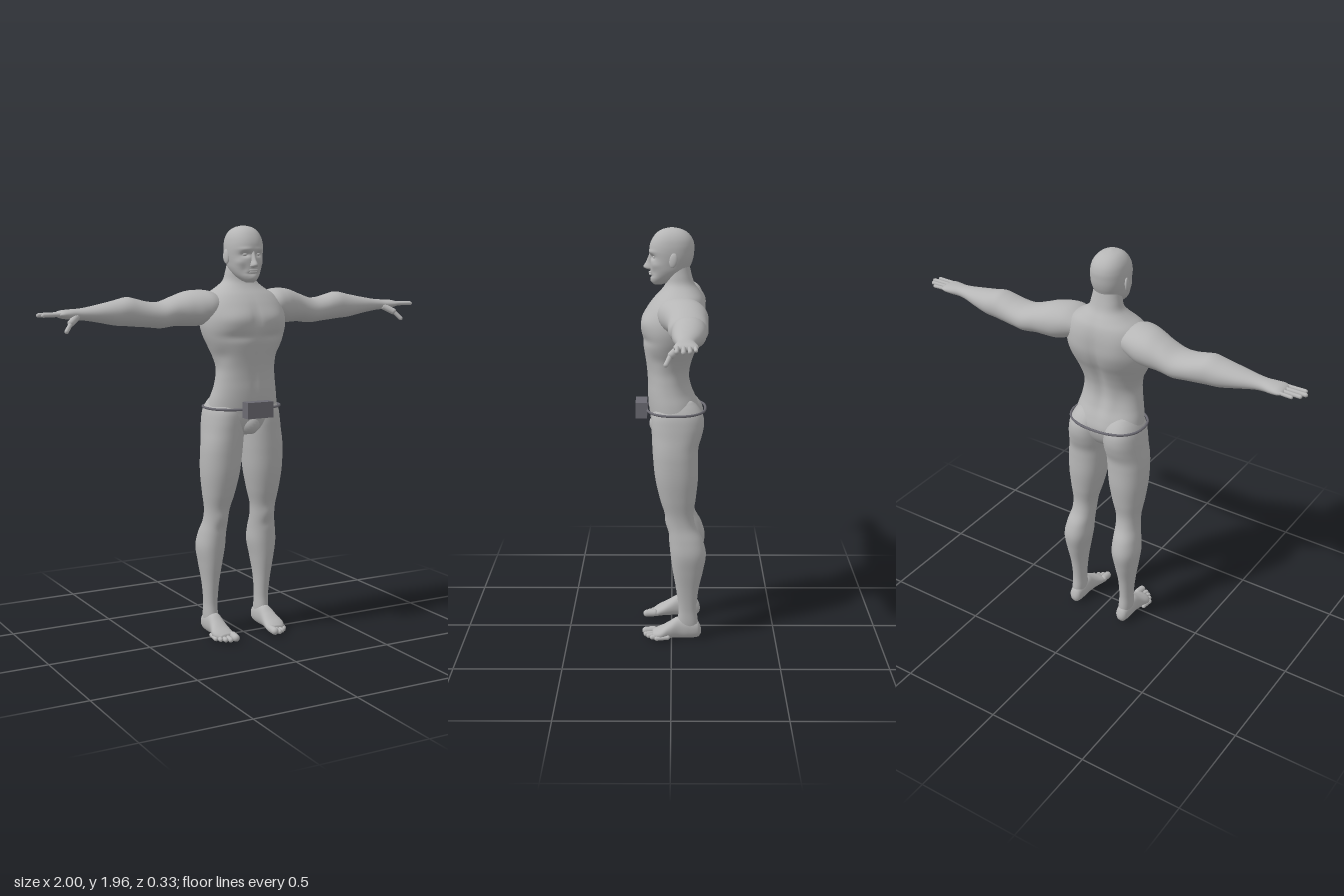
import * as THREE from 'three';

const skin = new THREE.MeshStandardMaterial({ color: 0xb6b6b6 });
skin.name = 'skin grey';
const dark = new THREE.MeshStandardMaterial({ color: 0x6b6a72 });
dark.name = 'belt grey';

// Cubic interpolation through rows of keys; column 0 is the position along the loft
function sample(keys, t) {
  let i = 0;
  while (i < keys.length - 2 && t > keys[i + 1][0]) i++;
  const k = (j) => keys[Math.min(Math.max(j, 0), keys.length - 1)];
  const [p, a, b, q] = [k(i - 1), k(i), k(i + 1), k(i + 2)];
  const h = b[0] - a[0], u = (t - a[0]) / h;
  return a.map((_, c) => {
    const ma = ((b[c] - p[c]) / (b[0] - p[0])) * h, mb = ((q[c] - a[c]) / (q[0] - a[0])) * h;
    const d = b[c] - a[c];
    return a[c] + u * (ma + u * (3 * d - 2 * ma - mb + u * (ma + mb - 2 * d)));
  });
}

// Closed skin over superellipse sections. Keys: [t, centre a, half a, min b, max b].
// axes names the directions of t, a and b; bumps: [x, y, z, rx, ry, rz, height].
function loft(axes, keys, { side = 1, power = 2.2, rings = 60, around = 40, bumps = [] } = {}) {
  const pos = [], index = [];
  const right = ['xyz', 'yzx', 'zxy'].includes(axes) ? 1 : -1;
  const tri = (a, b, c) => (right * side > 0 ? index.push(a, b, c) : index.push(a, c, b));
  const put = (t, a, b, ca, cb) => {
    const p = { [axes[0]]: t, [axes[1]]: a, [axes[2]]: b };
    let lift = 0;
    for (const [x, y, z, rx, ry, rz, h] of bumps) {
      const e = ((Math.abs(p.x) - x) / rx) ** 2 + ((p.y - y) / ry) ** 2 + ((p.z - z) / rz) ** 2;
      lift += h * Math.exp(-e);
    }
    const len = Math.hypot(a - ca, b - cb) || 1;
    p[axes[1]] += ((a - ca) / len) * lift;
    p[axes[2]] += ((b - cb) / len) * lift;
    pos.push(p.x * side, p.y, p.z);
  };
  const t0 = keys[0][0], t1 = keys[keys.length - 1][0];
  const bend = (v) => Math.sign(v) * Math.abs(v) ** (2 / power);
  for (let i = 0; i <= rings; i++) {
    const [t, ca, ra, b0, b1] = sample(keys, t0 + ((t1 - t0) * i) / rings);
    const cb = (b0 + b1) / 2, rb = (b1 - b0) / 2;
    for (let j = 0; j < around; j++) {
      const th = (j / around) * Math.PI * 2;
      put(t, ca + ra * bend(Math.cos(th)), cb + rb * bend(Math.sin(th)), ca, cb);
      if (i === rings) continue;
      const p = i * around + j, q = i * around + ((j + 1) % around);
      tri(p, q, p + around);
      tri(q, q + around, p + around);
    }
  }
  for (const [key, ring, end] of [[keys[0], 0, false], [keys[keys.length - 1], rings, true]]) {
    const c = pos.length / 3, cb = (key[3] + key[4]) / 2;
    put(key[0], key[1], cb, key[1], cb);
    for (let j = 0; j < around; j++) {
      const p = ring * around + j, q = ring * around + ((j + 1) % around);
      if (end) tri(c, p, q); else tri(c, q, p);
    }
  }
  const g = new THREE.BufferGeometry();
  g.setAttribute('position', new THREE.Float32BufferAttribute(pos, 3));
  g.setIndex(index);
  g.computeVertexNormals();
  return g;
}

export function createModel() {
  const model = new THREE.Group();
  model.name = 'figure';
  const add = (name, geometry, material = skin) => {
    const m = new THREE.Mesh(geometry, material);
    m.name = name;
    model.add(m);
    return m;
  };
  const ball = (name, x, y, z, rx, ry, rz) => {
    const m = add(name, new THREE.SphereGeometry(1, 20, 14));
    m.position.set(x, y, z);
    m.scale.set(rx, ry, rz);
    return m;
  };
  const limb = (name, from, to, r, side) => {
    const a = new THREE.Vector3(...from), b = new THREE.Vector3(...to);
    a.x *= side;
    b.x *= side;
    const m = add(name, new THREE.CapsuleGeometry(r, a.distanceTo(b) - 2 * r, 6, 12));
    m.position.copy(a).add(b).multiplyScalar(0.5);
    m.quaternion.setFromUnitVectors(new THREE.Vector3(0, 1, 0), b.sub(a).normalize());
  };

  // Torso with neck; bumps form the chest, stomach, shoulder blades and spine groove
  add('torso', loft('yxz', [
    [0.985, 0, 0.06, -0.07, 0.06], [1.01, 0, 0.12, -0.1, 0.08], [1.05, 0, 0.165, -0.125, 0.095],
    [1.1, 0, 0.172, -0.135, 0.103], [1.15, 0, 0.167, -0.12, 0.109], [1.2, 0, 0.156, -0.095, 0.112],
    [1.25, 0, 0.148, -0.081, 0.112], [1.3, 0, 0.145, -0.083, 0.115], [1.35, 0, 0.158, -0.097, 0.121],
    [1.4, 0, 0.179, -0.117, 0.129], [1.45, 0, 0.199, -0.14, 0.136], [1.5, 0, 0.21, -0.154, 0.138],
    [1.55, 0, 0.208, -0.158, 0.13], [1.6, 0, 0.195, -0.157, 0.106], [1.64, 0, 0.165, -0.148, 0.076],
    [1.67, 0, 0.118, -0.13, 0.048], [1.7, 0, 0.083, -0.108, 0.028], [1.74, 0, 0.071, -0.094, 0.022],
    [1.8, 0, 0.06, -0.08, 0.02],
  ], {
    rings: 100, around: 72, bumps: [
      [0.09, 1.53, 0.12, 0.08, 0.045, 0.07, 0.012], [0.09, 1.45, 0.13, 0.09, 0.02, 0.07, -0.007],
      [0, 1.53, 0.13, 0.016, 0.07, 0.06, -0.006], [0, 1.25, 0.11, 0.012, 0.13, 0.05, -0.004],
      [0.1, 1.53, -0.14, 0.06, 0.08, 0.06, 0.008], [0, 1.4, -0.12, 0.025, 0.2, 0.07, -0.014],
      [0.045, 1.24, -0.08, 0.03, 0.09, 0.04, 0.006], [0.15, 1.36, 0.07, 0.04, 0.04, 0.05, -0.006],
    ],
  }));
  ball('groin', 0, 1.035, 0.06, 0.05, 0.05, 0.045);

  // Head with eye sockets, brow, cheekbones and chin
  add('head', loft('yxz', [
    [1.697, 0, 0.018, 0.045, 0.08], [1.708, 0, 0.036, 0.01, 0.09], [1.73, 0, 0.056, -0.03, 0.096],
    [1.76, 0, 0.071, -0.072, 0.098], [1.79, 0, 0.078, -0.09, 0.098], [1.82, 0, 0.083, -0.1, 0.098],
    [1.85, 0, 0.085, -0.104, 0.102], [1.88, 0, 0.083, -0.104, 0.099], [1.91, 0, 0.075, -0.094, 0.086],
    [1.935, 0, 0.058, -0.072, 0.065], [1.95, 0, 0.035, -0.043, 0.038], [1.957, 0, 0.006, -0.01, 0.006],
  ], {
    rings: 80, around: 64, bumps: [
      [0.034, 1.825, 0.09, 0.02, 0.011, 0.03, -0.014], [0.035, 1.85, 0.09, 0.03, 0.009, 0.03, 0.004],
      [0.055, 1.79, 0.07, 0.02, 0.016, 0.03, 0.004], [0.04, 1.755, 0.08, 0.015, 0.02, 0.03, -0.005],
      [0, 1.738, 0.095, 0.03, 0.007, 0.03, -0.006], [0, 1.715, 0.09, 0.02, 0.012, 0.03, 0.005],
    ],
  }));
  add('nose', loft('yxz', [
    [1.764, 0, 0.007, 0.07, 0.1], [1.769, 0, 0.017, 0.07, 0.119], [1.778, 0, 0.017, 0.07, 0.13],
    [1.8, 0, 0.011, 0.07, 0.118], [1.835, 0, 0.009, 0.07, 0.103], [1.85, 0, 0.008, 0.07, 0.099],
  ], { rings: 24, around: 24, power: 2 }));
  ball('upperLip', 0, 1.753, 0.095, 0.025, 0.005, 0.011);
  ball('lowerLip', 0, 1.744, 0.094, 0.021, 0.005, 0.011);

  for (const side of [1, -1]) {
    ball('eye', side * 0.033, 1.825, 0.074, 0.013, 0.008, 0.012);
    const ear = ball('ear', side * 0.086, 1.815, -0.008, 0.009, 0.034, 0.019);
    ear.rotation.set(-0.15, side * -0.3, 0);

    // Arm from shoulder to palm
    add('arm', loft('xyz', [
      [0.11, 1.585, 0.05, -0.12, 0.04], [0.17, 1.585, 0.074, -0.147, 0.062], [0.22, 1.58, 0.083, -0.161, 0.055],
      [0.27, 1.577, 0.08, -0.165, 0.036], [0.33, 1.567, 0.069, -0.162, 0.018], [0.4, 1.551, 0.061, -0.162, 0.014],
      [0.46, 1.555, 0.059, -0.158, 0.008], [0.52, 1.565, 0.064, -0.154, 0.001], [0.56, 1.571, 0.066, -0.152, -0.002],
      [0.62, 1.567, 0.057, -0.146, -0.003], [0.7, 1.567, 0.041, -0.127, -0.01], [0.77, 1.567, 0.029, -0.105, -0.02],
      [0.81, 1.567, 0.025, -0.1, -0.022], [0.85, 1.568, 0.022, -0.108, -0.014], [0.885, 1.569, 0.017, -0.111, -0.01],
      [0.905, 1.569, 0.008, -0.104, -0.018],
    ], { side, rings: 80, power: 2.1 }));
    // Fingers: little to index, then the thumb in two joints
    [[-0.1, 0.955, 0.008], [-0.076, 0.985, 0.009], [-0.05, 0.999, 0.0095], [-0.023, 0.985, 0.009]].forEach(([z, tip, r]) =>
      limb('finger', [0.87, 1.57, z * 0.9 - 0.006], [tip, 1.569, z], r, side));
    limb('thumbBase', [0.81, 1.562, -0.04], [0.868, 1.527, 0.006], 0.016, side);
    limb('thumbTip', [0.85, 1.541, -0.004], [0.893, 1.492, 0.024], 0.01, side);

    // Leg with buttock, knee and calf
    add('leg', loft('yxz', [
      [0.02, 0.141, 0.026, -0.126, -0.035], [0.08, 0.141, 0.032, -0.128, -0.03], [0.15, 0.141, 0.031, -0.121, -0.034],
      [0.25, 0.142, 0.038, -0.13, -0.022], [0.35, 0.142, 0.053, -0.152, -0.005], [0.43, 0.14, 0.065, -0.164, 0.005],
      [0.5, 0.135, 0.061, -0.147, 0.012], [0.56, 0.128, 0.056, -0.116, 0.02], [0.62, 0.125, 0.058, -0.105, 0.03],
      [0.7, 0.12, 0.074, -0.115, 0.055], [0.8, 0.115, 0.09, -0.125, 0.077], [0.9, 0.11, 0.096, -0.125, 0.087],
      [0.95, 0.106, 0.096, -0.127, 0.09], [1, 0.1, 0.095, -0.142, 0.092], [1.05, 0.097, 0.092, -0.152, 0.094],
      [1.1, 0.094, 0.086, -0.147, 0.09], [1.14, 0.09, 0.072, -0.122, 0.07], [1.17, 0.088, 0.05, -0.09, 0.04],
    ], { side, rings: 100, bumps: [[0.125, 0.585, 0.03, 0.03, 0.03, 0.03, 0.006], [0.125, 0.53, 0.02, 0.03, 0.02, 0.03, -0.004]] }));

    // Foot with toes stepping back towards the outside
    add('foot', loft('zxy', [
      [-0.142, 0.14, 0.012, 0.022, 0.05], [-0.13, 0.14, 0.027, 0.005, 0.08], [-0.08, 0.14, 0.035, 0, 0.1],
      [-0.03, 0.14, 0.036, 0, 0.104], [0.01, 0.142, 0.042, 0, 0.08], [0.045, 0.144, 0.05, 0, 0.058],
      [0.07, 0.139, 0.049, 0, 0.045], [0.092, 0.13, 0.038, 0.004, 0.032],
    ], { side, rings: 40 }));
    for (let i = 0; i < 5; i++) {
      const r = i ? 0.0125 - i * 0.0005 : 0.018, tip = [0.142, 0.135, 0.122, 0.104, 0.082][i];
      const x = [0.108, 0.135, 0.155, 0.173, 0.188][i];
      limb('toe', [x - 0.004, r + 0.006, tip - 0.075], [x, r, tip], r, side);
    }
  }

  // Thin belt cord and the box on its front
  const loop = [];
  for (let i = 0; i < 32; i++) {
    const a = (i / 32) * Math.PI * 2, bend = (v) => Math.sign(v) * Math.abs(v) ** 0.85;
    loop.push(new THREE.Vector3(0.186 * bend(Math.cos(a)), 1.112, -0.021 + 0.139 * bend(Math.sin(a))));
  }
  add('belt', new THREE.TubeGeometry(new THREE.CatmullRomCurve3(loop, true), 96, 0.006, 8, true), dark);
  add('beltBox', new THREE.BoxGeometry(0.136, 0.075, 0.054), dark).position.set(0, 1.112, 0.142);
  return model;
}
